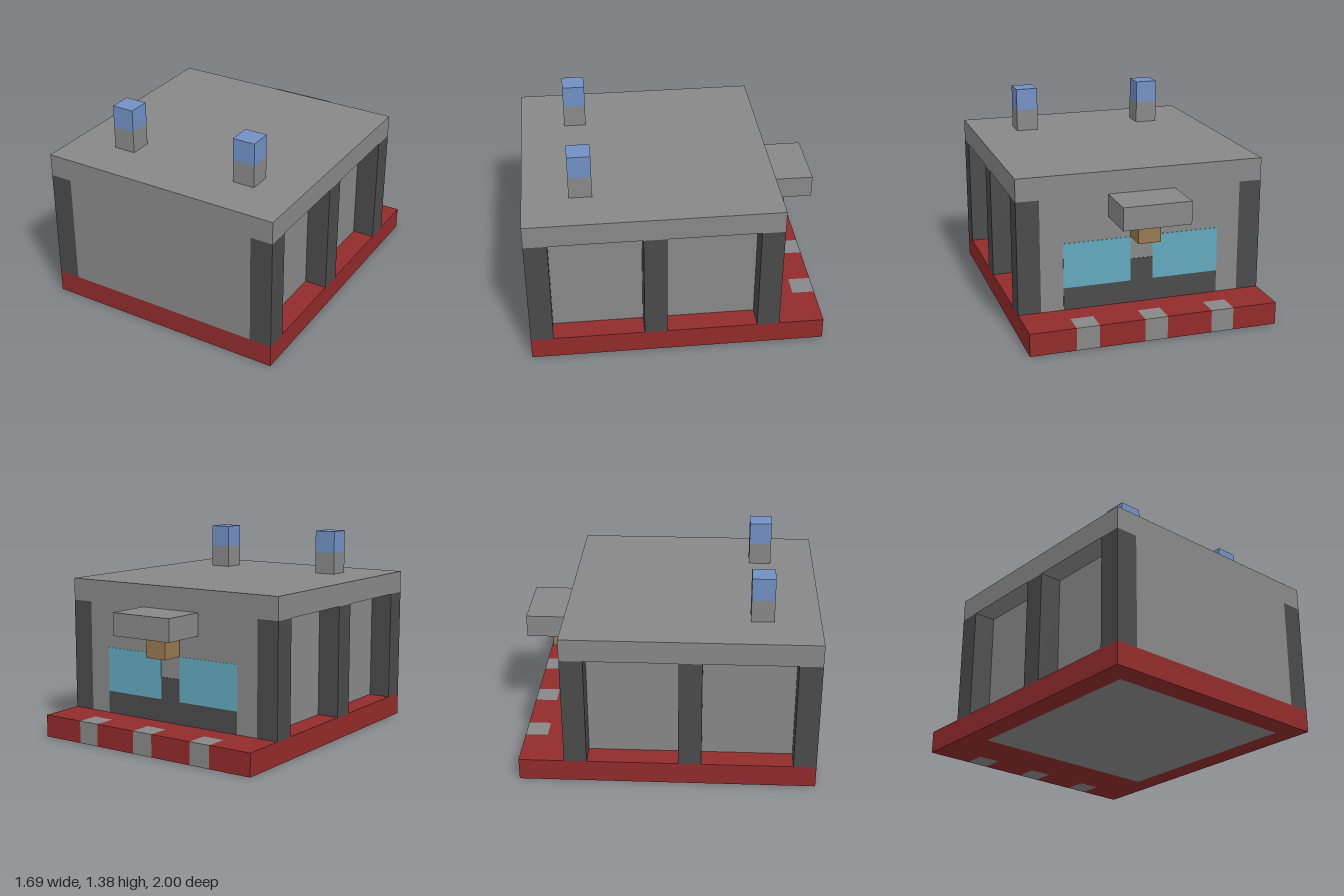
import * as THREE from 'three';

const U = 2 / 13; // one building block; the model is 11 x 9 x 13 blocks

const mat = (name, color) => {
  const m = new THREE.MeshStandardMaterial({ color });
  m.name = name;
  return m;
};

export function createModel() {
  const grey = mat('grey', 0x888888);
  const dark = mat('darkGrey', 0x4a4a4a);
  const red = mat('red', 0x922b2b);
  const blue = mat('blue', 0x7290c4);
  const brown = mat('brown', 0x967850);
  const glass = mat('glassBlue', 0x62a8be);

  const model = new THREE.Group();
  model.name = 'blockCabin';

  // Box between two corners, in blocks: x and z from the centre, y from the ground
  const box = (name, material, x0, x1, y0, y1, z0, z1) => {
    const g = new THREE.BoxGeometry((x1 - x0) * U, (y1 - y0) * U, (z1 - z0) * U);
    const mesh = new THREE.Mesh(g, material);
    mesh.name = name;
    mesh.position.set((x0 + x1) / 2 * U, (y0 + y1) / 2 * U, (z0 + z1) / 2 * U);
    model.add(mesh);
  };

  // Red base frame: open floor in the middle, three notches along the back
  const pts = (list) => list.map(([x, z]) => new THREE.Vector2(x * U, -z * U));
  const notches = [-3, 0, 3];
  const outline = [[-5.5, 6.5], [5.5, 6.5], [5.5, -6.5]];
  for (const x of [...notches].reverse()) {
    outline.push([x + 0.5, -6.5], [x + 0.5, -5.5], [x - 0.5, -5.5], [x - 0.5, -6.5]);
  }
  outline.push([-5.5, -6.5]);
  const shape = new THREE.Shape(pts(outline));
  shape.holes.push(new THREE.Path(pts([[-4.5, -3.5], [4.5, -3.5], [4.5, 5.5], [-4.5, 5.5]])));
  const frameGeo = new THREE.ExtrudeGeometry(shape, { depth: U, bevelEnabled: false });
  frameGeo.rotateX(-Math.PI / 2);
  const frame = new THREE.Mesh(frameGeo, red);
  frame.name = 'baseFrame';
  model.add(frame);

  // Floor and rear step blocks fill the openings in the frame
  box('floor', grey, -4.5, 4.5, 0, 1, -3.5, 5.5);
  for (const x of notches) box('rearBlock', grey, x - 0.5, x + 0.5, 0, 1, -6.5, -5.5);

  // Walls and roof
  box('walls', grey, -4.5, 4.5, 1, 6, -4.5, 6.5);
  box('roof', grey, -5.5, 5.5, 6, 7, -4.5, 6.5);

  // Side pillars and chimneys, mirrored
  for (const s of [-1, 1]) {
    for (const z of [-4, 1, 6]) {
      box('pillar', dark, s * 5 - 0.5, s * 5 + 0.5, 1, 6, z - 0.5, z + 0.5);
    }
    box('chimney', grey, s * 3 - 0.5, s * 3 + 0.5, 7, 8, 3.5, 4.5);
    box('chimneyTop', blue, s * 3 - 0.5, s * 3 + 0.5, 8, 9, 3.5, 4.5);
    // Rear windows as thin plates
    box('rearWindow', glass, s * 2 - 1.5, s * 2 + 1.5, 2, 4, -4.52, -4.5);
  }

  // Dark panel below and between the windows
  box('rearPanel', dark, -3.5, 3.5, 1, 2, -4.52, -4.5);
  box('rearPanelPost', dark, -0.5, 0.5, 2, 3, -4.52, -4.5);

  // Rear canopy with the lamp below it
  box('canopy', grey, -1.5, 1.5, 5, 6, -6.5, -4.5);
  box('lamp', brown, -0.5, 0.5, 4, 5, -5.5, -4.5);

  return model;
}
